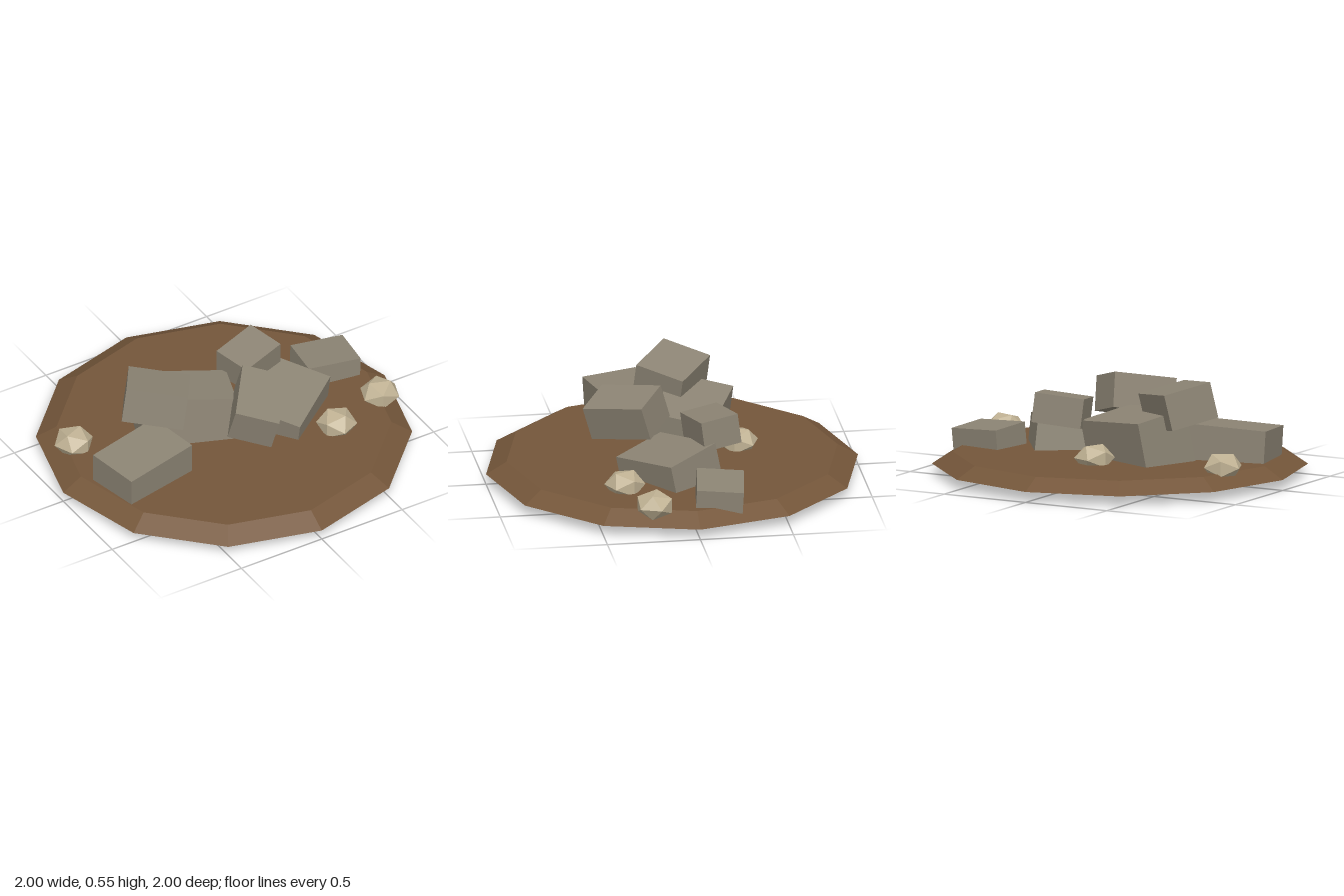
import * as THREE from 'three';

export function createModel() {
  const model = new THREE.Group();
  const material = (color) => new THREE.MeshStandardMaterial({ color, flatShading: true });
  const earth = material(0x74563a);
  const stone = material(0x8c8474);
  const pale = material(0xbfb193);

  // Twelve-sided earth mound with sloping rim
  const mound = new THREE.Mesh(new THREE.CylinderGeometry(0.89, 1, 0.065, 12), earth);
  mound.name = 'earthMound';
  mound.position.y = 0.0925;
  model.add(mound);

  // Tumbled stone blocks: centre of top face, size, then pitch, yaw, roll
  const blocks = [
    ['leftBlock', [-0.61, 0.3, 0.17], [0.44, 0.255, 0.3], [0.05, 0.205, 0.045]],
    ['middleBlock', [-0.16, 0.36, -0.135], [0.5, 0.3, 0.33], [-0.15, -0.37, -0.1]],
    ['rightBlock', [0.333, 0.27, 0.085], [0.42, 0.22, 0.34], [0.15, 0.643, 0.12]],
    ['upperRightBlock', [0.25, 0.435, -0.16], [0.27, 0.16, 0.215], [0.1, 0.29, 0.1]],
    ['upperFrontBlock', [0.06, 0.48, 0.28], [0.24, 0.19, 0.36], [0.166, -0.65, -0.25]],
    ['upperLeftBlock', [-0.37, 0.511, -0.063], [0.33, 0.195, 0.277], [-0.19, -0.588, -0.127]],
    ['outlyingBlock', [0.723, 0.228, -0.15], [0.3, 0.17, 0.25], [-0.06, -0.145, -0.06]],
  ];
  for (const [name, top, [w, h, d], [pitch, yaw, roll]] of blocks) {
    const geometry = new THREE.BoxGeometry(w, h, d).translate(0, -h / 2, 0);
    const block = new THREE.Mesh(geometry, stone);
    block.name = name;
    block.position.set(...top);
    block.rotation.set(pitch, yaw, roll, 'YXZ');
    model.add(block);
  }

  // Flattened pale pebbles
  const pebbleGeometry = new THREE.IcosahedronGeometry(0.11, 0).scale(1, 0.72, 1);
  const pebbles = [[-0.78, -0.255], [-0.055, -0.365], [0.5, 0.33], [0.835, 0.22]];
  pebbles.forEach(([x, z], i) => {
    const pebble = new THREE.Mesh(pebbleGeometry, pale);
    pebble.name = 'pebble' + (i + 1);
    pebble.position.set(x, 0.153, z);
    pebble.rotation.y = i * 0.8 + 0.4;
    model.add(pebble);
  });

  return model;
}
